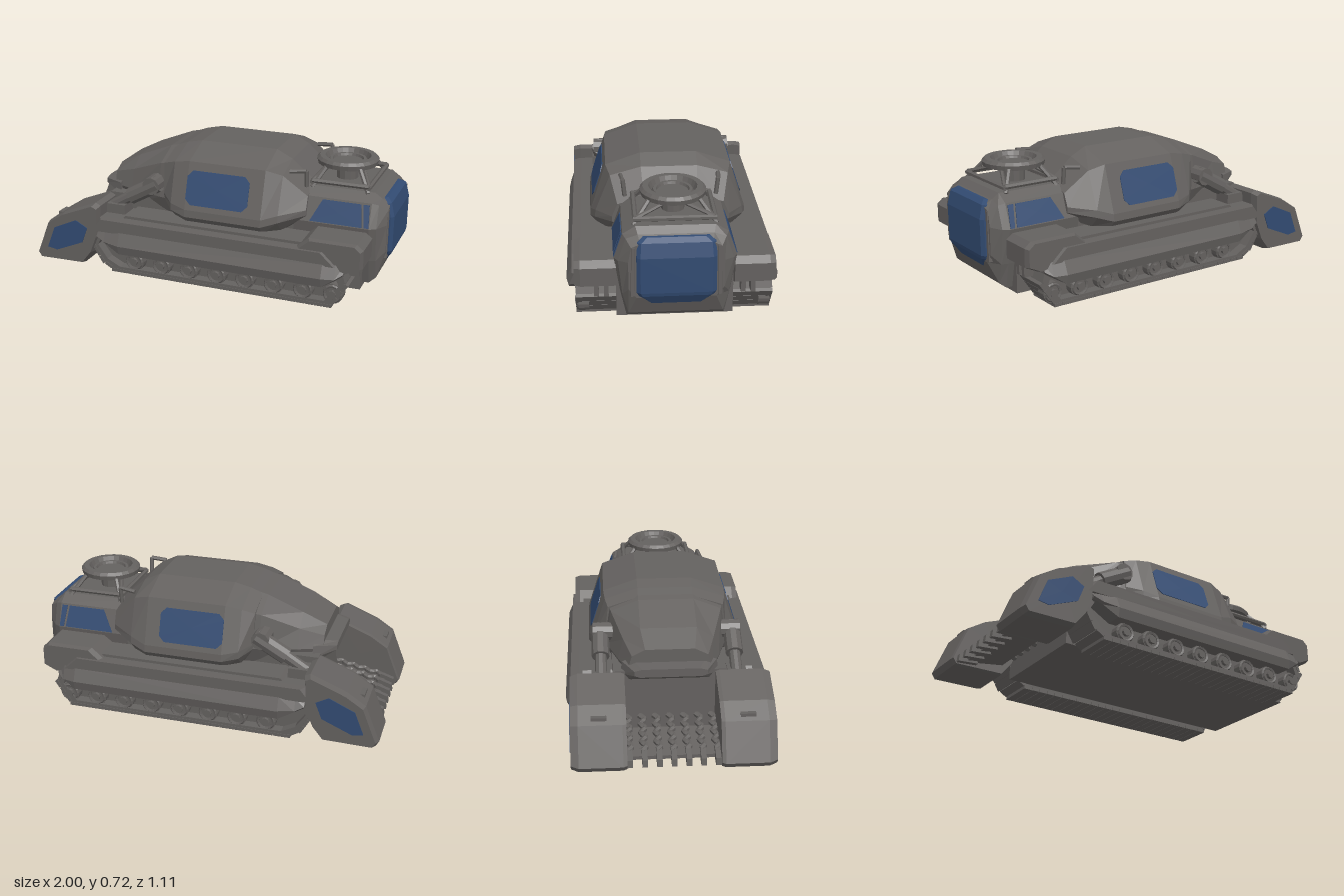
import * as THREE from 'three';

const grey = new THREE.MeshStandardMaterial({ color: 0x64615f, flatShading: true });
grey.name = 'hull grey';
const blue = new THREE.MeshStandardMaterial({ color: 0x324b72, flatShading: true });
blue.name = 'window blue';

// Closed, faceted solid through rings of equal point count, always wound outwards
function loft(rings) {
  const tris = [];
  const n = rings[0].length;
  for (let i = 0; i < rings.length - 1; i++) {
    for (let j = 0; j < n; j++) {
      const k = (j + 1) % n;
      const a = rings[i][j], b = rings[i][k], c = rings[i + 1][k], d = rings[i + 1][j];
      tris.push([a, b, c], [a, c, d]);
    }
  }
  const cap = (ring, flip) => {
    const m = [0, 1, 2].map(q => ring.reduce((s, p) => s + p[q], 0) / n);
    ring.forEach((p, j) => {
      const q = ring[(j + 1) % n];
      tris.push(flip ? [m, q, p] : [m, p, q]);
    });
  };
  cap(rings[0], true);
  cap(rings[rings.length - 1], false);
  const vol = tris.reduce((s, [a, b, c]) => s
    + a[0] * (b[1] * c[2] - b[2] * c[1])
    - a[1] * (b[0] * c[2] - b[2] * c[0])
    + a[2] * (b[0] * c[1] - b[1] * c[0]), 0);
  const geo = new THREE.BufferGeometry();
  const flat = tris.flatMap(t => (vol < 0 ? [t[0], t[2], t[1]] : t)).flat();
  geo.setAttribute('position', new THREE.Float32BufferAttribute(flat, 3));
  geo.computeVertexNormals();
  return geo;
}

// Symmetric body: stations of [x, half profile of [z, y] from bottom to top]
const hull = stations => loft(stations.map(([x, half]) => [
  ...half.map(([z, y]) => [x, y, z]),
  ...half.slice().reverse().map(([z, y]) => [x, y, -z])]));

// Side outline [x, y] carried across layers of [z, scale about the middle]
function slab(pts, layers) {
  const cx = pts.reduce((s, p) => s + p[0], 0) / pts.length;
  const cy = pts.reduce((s, p) => s + p[1], 0) / pts.length;
  return loft(layers.map(([z, k]) => pts.map(([x, y]) => [cx + (x - cx) * k, cy + (y - cy) * k, z])));
}

// Thin pane lying on a sloping side, z given as a function of y
const pane = (pts, z) => loft([-0.004, 0.004].map(d => pts.map(([x, y]) => [x, y, z(y) + d])));

function rod(a, b, r, sides = 8) {
  const p = new THREE.Vector3(...a), q = new THREE.Vector3(...b);
  const geo = new THREE.CylinderGeometry(r, r, p.distanceTo(q), sides);
  const dir = q.clone().sub(p).normalize();
  geo.applyQuaternion(new THREE.Quaternion().setFromUnitVectors(new THREE.Vector3(0, 1, 0), dir));
  const m = p.add(q).multiplyScalar(0.5);
  return geo.translate(m.x, m.y, m.z);
}

function box(x0, x1, y0, y1, z0, z1) {
  return new THREE.BoxGeometry(x1 - x0, y1 - y0, z1 - z0)
    .translate((x0 + x1) / 2, (y0 + y1) / 2, (z0 + z1) / 2);
}

// Mirror in z and restore the winding
function mirrored(geo) {
  const g = geo.index ? geo.toNonIndexed() : geo.clone();
  g.scale(1, 1, -1);
  const p = g.attributes.position;
  for (let i = 0; i < p.count; i += 3) {
    const b = [p.getX(i + 1), p.getY(i + 1), p.getZ(i + 1)];
    p.setXYZ(i + 1, p.getX(i + 2), p.getY(i + 2), p.getZ(i + 2));
    p.setXYZ(i + 2, ...b);
  }
  g.computeVertexNormals();
  return g;
}

export function createModel() {
  const root = new THREE.Group();
  root.name = 'trackedVehicle';
  const add = (name, geo, mat = grey) => {
    const mesh = new THREE.Mesh(geo, mat);
    mesh.name = name;
    root.add(mesh);
  };
  const pair = (name, geo, mat = grey) => {
    add(name + 'Near', geo, mat);
    add(name + 'Far', mirrored(geo), mat);
  };

  // Chassis and main hull
  add('chassis', box(-0.62, 0.86, 0.035, 0.4, -0.3, 0.3));
  add('rearHull', hull([
    [-0.63, [[0.19, 0.36], [0.22, 0.42], [0.2, 0.49], [0.13, 0.525]]],
    [-0.5, [[0.24, 0.32], [0.27, 0.42], [0.24, 0.53], [0.15, 0.59]]],
    [-0.3, [[0.28, 0.3], [0.33, 0.42], [0.3, 0.61], [0.15, 0.67]]],
    [-0.1, [[0.32, 0.3], [0.37, 0.42], [0.33, 0.64], [0.15, 0.715]]]]));
  add('rearLip', hull([
    [-0.7, [[0.16, 0.4], [0.19, 0.41], [0.19, 0.435], [0.15, 0.445]]],
    [-0.58, [[0.23, 0.33], [0.26, 0.37], [0.25, 0.44], [0.2, 0.46]]]]));
  const waist = [[0.385, 0.31], [0.425, 0.36], [0.42, 0.4], [0.337, 0.655], [0.15, 0.72]];
  add('midHull', hull([
    [-0.27, [[0.24, 0.38], [0.33, 0.42], [0.335, 0.45], [0.315, 0.62], [0.15, 0.675]]],
    [-0.2, [[0.34, 0.33], [0.4, 0.38], [0.4, 0.42], [0.33, 0.64], [0.15, 0.7]]],
    [-0.11, waist], [0.33, waist],
    [0.42, [[0.34, 0.33], [0.4, 0.39], [0.395, 0.43], [0.315, 0.63], [0.15, 0.675]]],
    [0.55, [[0.22, 0.38], [0.31, 0.42], [0.31, 0.45], [0.28, 0.52], [0.14, 0.56]]]]));
  pair('hullWindow', pane([[-0.11, 0.46], [-0.08, 0.43], [0.22, 0.43], [0.25, 0.46],
    [0.25, 0.58], [0.22, 0.61], [-0.08, 0.61], [-0.11, 0.58]], y => 0.42 - (y - 0.4) * 0.3255), blue);

  // Cab with windscreen and side windows
  const side = [[0.25, 0.06], [0.28, 0.2], [0.31, 0.39], [0.265, 0.52], [0.2, 0.56]];
  add('cab', hull([[0.48, side], [0.895, side],
    [0.93, [[0.24, 0.09], [0.27, 0.2], [0.29, 0.39], [0.25, 0.51], [0.19, 0.53]]],
    [0.975, [[0.2, 0.2], [0.24, 0.25], [0.24, 0.4], [0.225, 0.48], [0.18, 0.5]]]]));
  add('windscreen', loft([[0.14, 0.13, 0.947], [0.215, 0.19, 0.993], [0.235, 0.2, 0.998],
    [0.43, 0.2, 1], [0.505, 0.195, 0.982], [0.525, 0.165, 0.955]].map(([y, w, x]) => [
    [0.91, y, -w], [x - 0.015, y, -w], [x, y, 0.02 - w], [x, y, w - 0.02], [x - 0.015, y, w], [0.91, y, w]])), blue);
  const cabZ = y => 0.31 - (y - 0.39) * 0.346;
  pair('cabWindow', pane([[0.57, 0.395], [0.63, 0.51], [0.84, 0.51], [0.855, 0.395]], cabZ), blue);
  pair('cabQuarterWindow', pane([[0.868, 0.395], [0.853, 0.51], [0.885, 0.51], [0.893, 0.395]], cabZ), blue);
  pair('windscreenPillar', rod([0.965, 0.21, 0.22], [0.965, 0.48, 0.215], 0.016, 6));

  // Roof ring on a frame of struts
  const ring = [[0, 0.655], [0.08, 0.655], [0.085, 0.668], [0.1, 0.668], [0.11, 0.65], [0.125, 0.685],
    [0.155, 0.685], [0.17, 0.67], [0.165, 0.645], [0.12, 0.635], [0, 0.635]];
  add('roofRing', new THREE.LatheGeometry(ring.map(p => new THREE.Vector2(...p)).reverse(), 24).translate(0.69, 0, 0));
  add('ringPedestal', new THREE.CylinderGeometry(0.06, 0.06, 0.1, 12).translate(0.69, 0.59, 0));
  pair('roofRail', rod([0.55, 0.585, 0.2], [0.86, 0.585, 0.2], 0.014, 6));
  for (const x of [0.55, 0.86]) {
    const inner = 0.69 + (x - 0.69) * 0.6;
    pair('roofStrut', rod([x, 0.55, 0.21], [inner, 0.65, 0.13], 0.013, 6));
    pair('roofBrace', rod([x, 0.585, 0.2], [inner, 0.635, 0.05], 0.011, 6));
    add('roofCrossbar', rod([x, 0.58, -0.21], [x, 0.58, 0.21], 0.014, 6));
  }
  // Grab handles between hull and cab roof
  pair('handlePost', rod([0.53, 0.56, 0.24], [0.53, 0.65, 0.25], 0.012, 6));
  pair('handleBar', rod([0.44, 0.64, 0.26], [0.53, 0.65, 0.25], 0.012, 6));

  // Track belts with closely set pads
  const loop = [[-0.5, 0.012], [0.75, 0.012], [0.83, 0.13], [0.81, 0.19], [0.74, 0.245],
    [-0.53, 0.245], [-0.61, 0.22], [-0.64, 0.16], [-0.58, 0.06]];
  const toV = p => new THREE.Vector2(...p);
  const belt = new THREE.Shape(loop.map(toV));
  belt.holes.push(new THREE.Path(loop.map(([x, y]) =>
    new THREE.Vector2(0.1 + (x - 0.1) * 0.955, 0.13 + (y - 0.13) * 0.8))));
  pair('trackBelt', new THREE.ExtrudeGeometry(belt, { depth: 0.205, bevelEnabled: false }).translate(0, 0, 0.3));
  pair('trackCore', slab(loop, [[0.32, 0.97], [0.45, 0.97]]));
  const path = new THREE.Path([...loop, loop[0]].map(toV));
  for (let i = 0; i < 64; i++) {
    const p = path.getPointAt(i / 64), t = path.getTangentAt(i / 64);
    pair('trackPad', new THREE.BoxGeometry(0.047, 0.018, 0.212)
      .rotateZ(Math.atan2(t.y, t.x)).translate(p.x, p.y, 0.402));
  }

  // Road wheels
  for (let i = 0; i < 8; i++) {
    const x = -0.385 + i * 0.164;
    pair('roadWheel', rod([x, 0.08, 0.44], [x, 0.08, 0.495], 0.056, 16));
    pair('wheelRim', new THREE.TorusGeometry(0.043, 0.009, 5, 16).translate(x, 0.08, 0.495));
    pair('wheelHub', rod([x, 0.08, 0.44], [x, 0.08, 0.512], 0.022, 8));
  }

  // Bulged side skirts: [x, lower edge, outward reach]
  pair('skirt', loft([[-0.6, 0.205, 0.53], [-0.55, 0.18, 0.545], [-0.46, 0.13, 0.555],
    [0.71, 0.13, 0.555], [0.78, 0.17, 0.54], [0.82, 0.195, 0.515]].map(([x, y, z]) => [
    [x, y, 0.44], [x, y, z - 0.012], [x, Math.max(y + 0.01, 0.18), z], [x, 0.25, z - 0.03], [x, 0.25, 0.44]])));

  // Fenders and front boxes
  pair('fender', slab([[-0.66, 0.24], [-0.6, 0.315], [0.72, 0.315], [0.8, 0.24]],
    [[0.27, 1], [0.48, 1], [0.525, 0.96]]));
  pair('fenderRidge', slab([[-0.48, 0.3], [-0.45, 0.33], [0.6, 0.33], [0.63, 0.3]], [[0.3, 1], [0.46, 1]]));
  pair('frontBox', slab([[0.54, 0.3], [0.62, 0.37], [0.88, 0.37], [0.915, 0.34], [0.915, 0.24], [0.84, 0.205], [0.7, 0.23]],
    [[0.3, 1], [0.48, 1], [0.51, 0.92]]));
  for (const z of [0.35, 0.4]) {
    pair('frontHook', box(0.82, 0.88, 0.16, 0.23, z - 0.012, z + 0.012));
  }

  // Rear pods with windows and lifting arms
  pair('rearPod', slab([[-1, 0.05], [-0.92, 0.25], [-0.82, 0.315], [-0.62, 0.395], [-0.59, 0.38], [-0.6, 0.2],
    [-0.64, 0.1], [-0.7, 0.025], [-0.98, 0.02]], [[0.24, 0.97], [0.26, 1], [0.485, 1], [0.525, 0.94]]));
  pair('podWindow', pane([[-0.92, 0.1], [-0.87, 0.225], [-0.73, 0.288], [-0.66, 0.25], [-0.695, 0.16], [-0.86, 0.09]],
    () => 0.525), blue);
  pair('podHatch', box(-0.9, -0.87, 0.25, 0.28, 0.34, 0.42));
  pair('liftCylinder', rod([-0.29, 0.51, 0.36], [-0.46, 0.415, 0.36], 0.048, 10));
  pair('liftPiston', rod([-0.42, 0.44, 0.36], [-0.6, 0.33, 0.36], 0.032, 10));
  pair('liftPivot', rod([-0.32, 0.5, 0.28], [-0.32, 0.5, 0.4], 0.05, 10));
  pair('liftBracket', box(-0.6, -0.48, 0.3, 0.37, 0.31, 0.41));

  // Rear scoop with wavy ribs and teeth
  add('scoopPlate', slab([[-0.92, 0.045], [-0.92, 0.065], [-0.7, 0.11], [-0.7, 0.08]], [[-0.25, 1], [0.25, 1]]));
  for (let i = 0; i < 7; i++) {
    const z = -0.225 + i * 0.075;
    add('scoopTooth', slab([[-0.975, 0.03], [-0.97, 0.07], [-0.88, 0.1], [-0.86, 0.04]],
      [[z - 0.014, 1], [z + 0.014, 1]]));
    const pts = Array.from({ length: 9 }, (_, j) =>
      new THREE.Vector3(-0.9 + j * 0.034, 0.085 + j * 0.007, z + (j % 2 ? 0.012 : -0.012)));
    add('scoopRib', new THREE.TubeGeometry(new THREE.CatmullRomCurve3(pts), 20, 0.016, 6));
  }
  return root;
}
